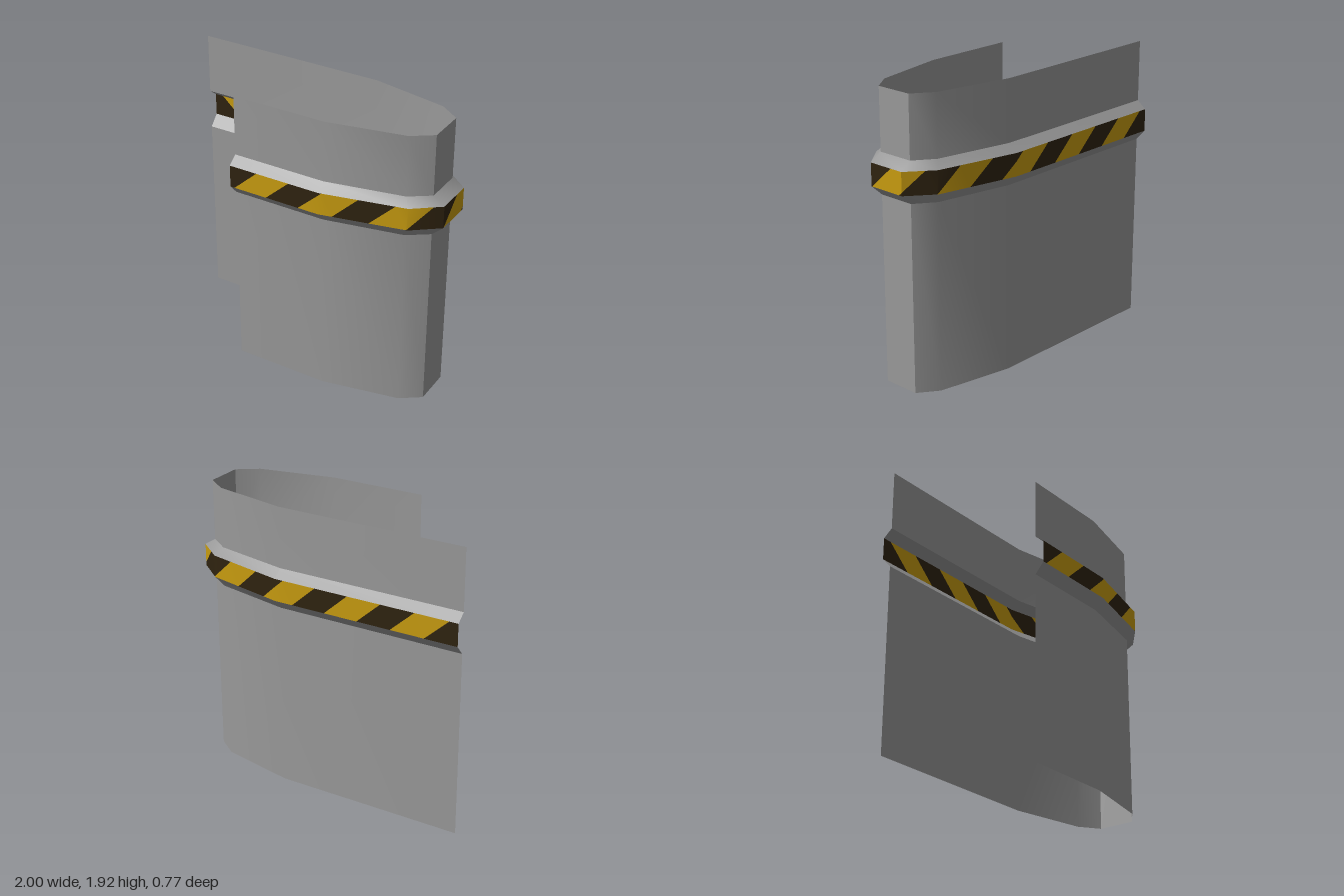
import * as THREE from 'three';
import { toCreasedNormals } from 'three/addons/utils/BufferGeometryUtils.js';

// Plan outlines [x, z], from the long back end round the nose to the short front end
const wall = [[-1, -0.322], [0.28, -0.322], [0.79, -0.22], [0.923, -0.125],
  [0.923, 0.125], [0.79, 0.22], [0.28, 0.322], [-0.36, 0.322]];
const rim = [[-1, -0.385], [0.28, -0.385], [0.83, -0.265], [1, -0.13],
  [1, 0.13], [0.83, 0.265], [0.28, 0.385], [-0.36, 0.385]];

const LOW = 1.32, HIGH = 1.47;              // painted band
const STRIPE = 0.2323, SLANT = 0.165, START = 0.06;

const paint = (name, color) => {
  const m = new THREE.MeshStandardMaterial({ color, side: THREE.DoubleSide });
  m.name = name;
  return m;
};

function makeMesh(name, positions, material) {
  const g = new THREE.BufferGeometry();
  g.setAttribute('position', new THREE.Float32BufferAttribute(positions, 3));
  const mesh = new THREE.Mesh(toCreasedNormals(g, 0.75), material);
  mesh.name = name;
  return mesh;
}

// Append a convex polygon as a triangle fan
function fan(out, pts) {
  for (let i = 1; i + 1 < pts.length; i++) out.push(...pts[0], ...pts[i], ...pts[i + 1]);
}

// Sheet between two outlines at two heights
function sheet(name, lower, y0, upper, y1, material) {
  const out = [];
  for (let i = 0; i + 1 < lower.length; i++) {
    const at = (p, y) => [p[0], y, p[1]];
    fan(out, [at(lower[i], y0), at(upper[i], y1), at(upper[i + 1], y1), at(lower[i + 1], y0)]);
  }
  return makeMesh(name, out, material);
}

// Keep the part of an unrolled [s, y] polygon on one side of s = limit
function clip(poly, limit, sign) {
  const out = [];
  poly.forEach((a, i) => {
    const b = poly[(i + 1) % poly.length];
    const da = (a[0] - limit) * sign, db = (b[0] - limit) * sign;
    if (da >= 0) out.push(a);
    if (da * db < 0) {
      const t = da / (da - db);
      out.push([limit, a[1] + (b[1] - a[1]) * t]);
    }
  });
  return out;
}

// Slanted stripes of one colour wrapped round the rim
function stripes(name, parity, material) {
  const out = [];
  let s0 = 0;
  for (let i = 0; i + 1 < rim.length; i++) {
    const [x0, z0] = rim[i], [x1, z1] = rim[i + 1];
    const len = Math.hypot(x1 - x0, z1 - z0);
    for (let k = -2 + parity; k <= 17; k += 2) {
      const a = START + k * STRIPE, b = a + STRIPE;
      let poly = [[a + SLANT, LOW], [a, HIGH], [b, HIGH], [b + SLANT, LOW]];
      poly = clip(clip(poly, s0, 1), s0 + len, -1);
      fan(out, poly.map(([s, y]) => {
        const t = (s - s0) / len;
        return [x0 + (x1 - x0) * t, y, z0 + (z1 - z0) * t];
      }));
    }
    s0 += len;
  }
  return makeMesh(name, out, material);
}

export function createModel() {
  const grey = paint('grey metal', 0x999999);
  const yellow = paint('warning yellow', 0xc89c10);
  const dark = paint('dark brown', 0x2f2310);

  const model = new THREE.Group();
  model.name = 'curvedBarrier';
  model.add(
    sheet('lowerWall', wall, 0, wall, 1.25, grey),
    sheet('lowerBevel', wall, 1.25, rim, LOW, grey),
    sheet('upperBevel', rim, HIGH, wall, 1.52, grey),
    sheet('upperWall', wall, 1.52, wall, 1.925, grey),
    stripes('yellowStripes', 0, yellow),
    stripes('darkStripes', 1, dark)
  );
  return model;
}
